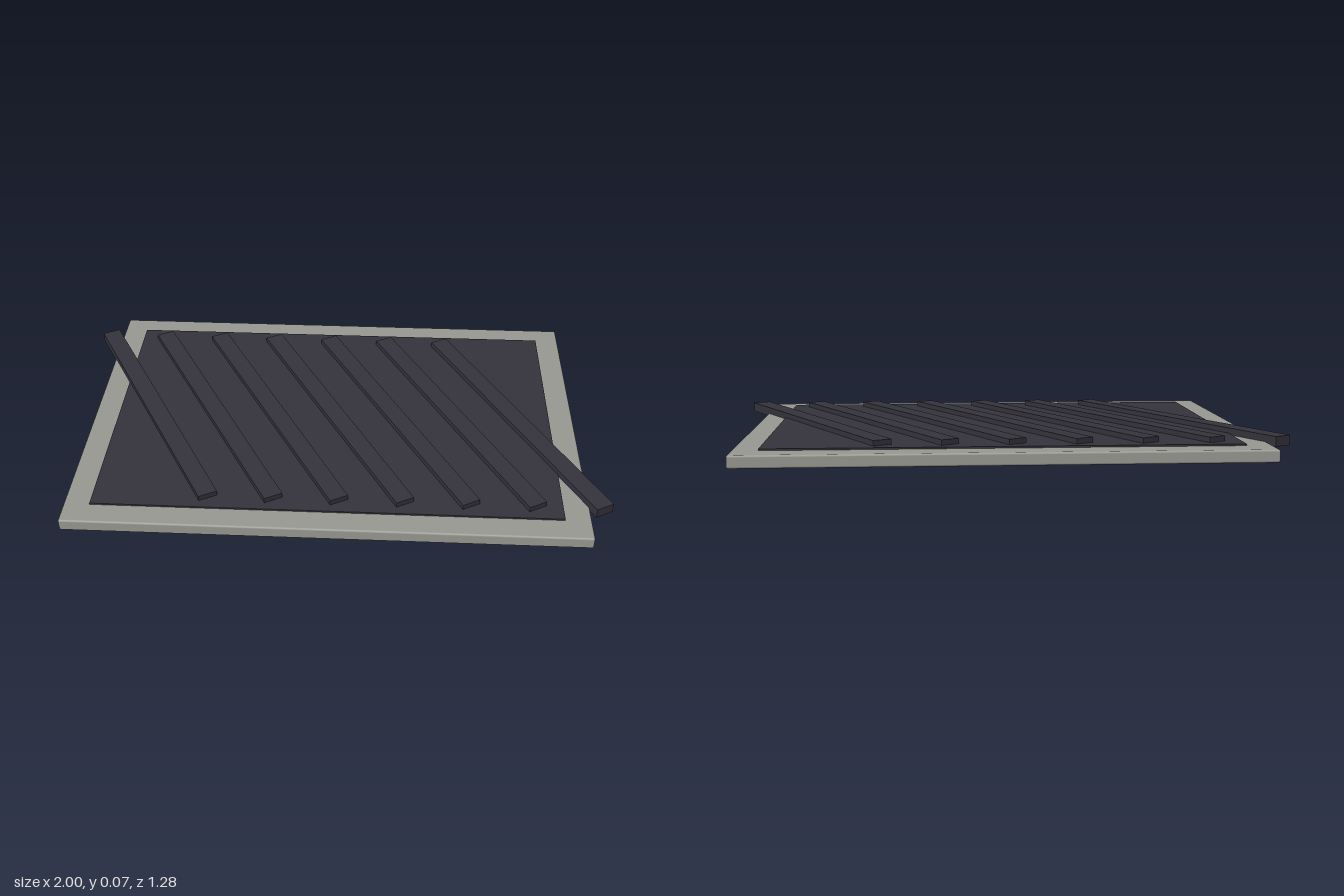
import * as THREE from 'three';
import { RoundedBoxGeometry } from 'three/addons/geometries/RoundedBoxGeometry.js';

export function createModel() {
  const model = new THREE.Group();
  model.name = 'stripedPanel';

  const stone = new THREE.MeshStandardMaterial({ name: 'warm grey', color: 0x9a9a94 });
  const dark = new THREE.MeshStandardMaterial({ name: 'charcoal', color: 0x35333b });

  const add = (name, geometry, material, x, y, z, parent = model) => {
    const mesh = new THREE.Mesh(geometry, material);
    mesh.name = name;
    mesh.position.set(x, y, z);
    parent.add(mesh);
    return mesh;
  };

  // Base slab with softened edges
  add('baseSlab', new RoundedBoxGeometry(1.84, 0.045, 1.284, 2, 0.007), stone, 0, 0.0225, 0);

  // Thin dark inlay standing just above the slab
  add('inlay', new THREE.BoxGeometry(1.656, 0.009, 1.108), dark, 0, 0.0465, 0);

  // Seven slanted bars, the outer two overhanging the slab
  const bars = new THREE.Group();
  bars.name = 'slantedBars';
  model.add(bars);
  const barGeometry = new THREE.BoxGeometry(0.069, 0.036, 1.152);
  for (let i = -3; i <= 3; i++) {
    add('slantedBar', barGeometry, dark, i * 0.231, 0.052, 0, bars).rotation.y = 0.5;
  }

  return model;
}
